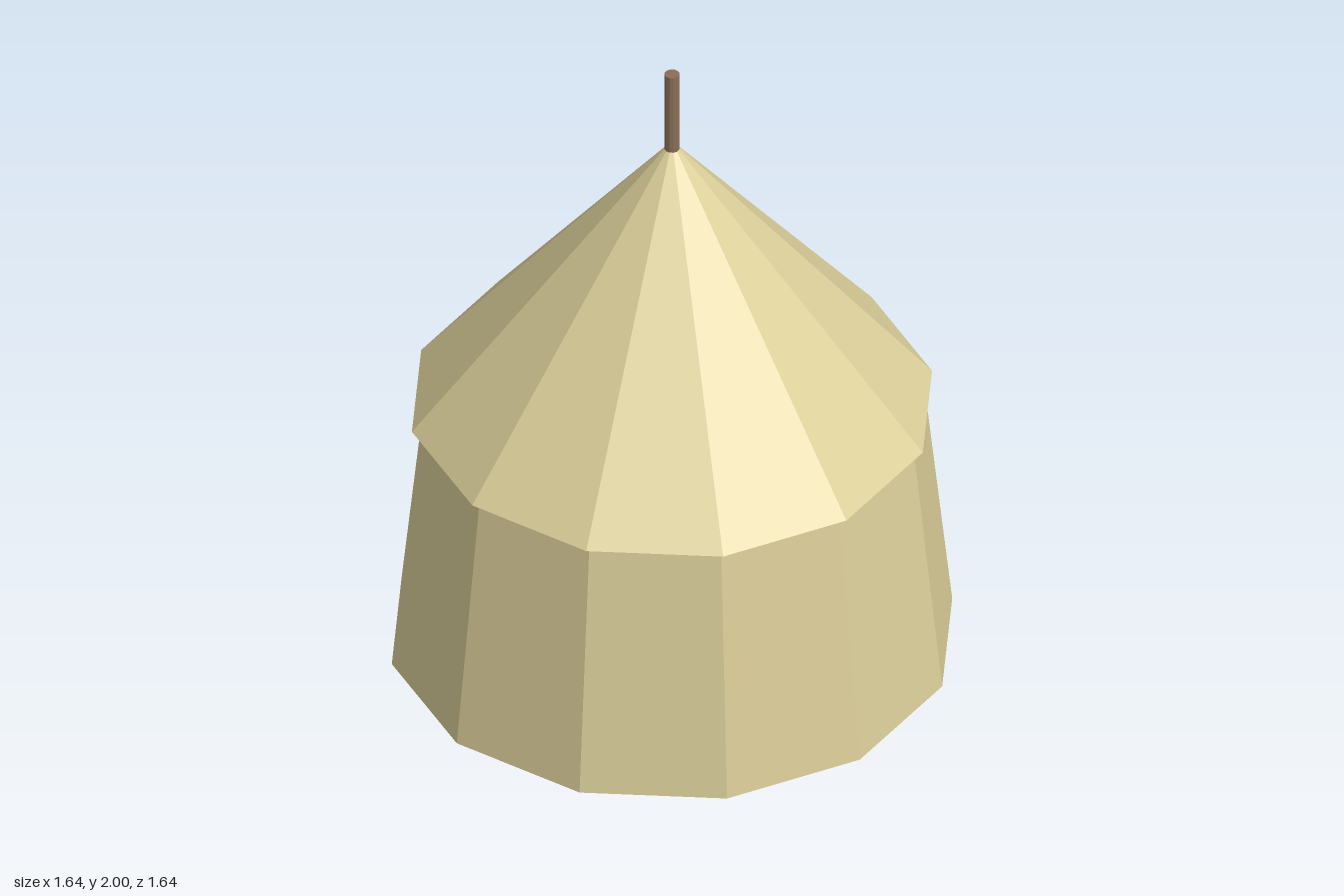
import * as THREE from 'three';

export function createModel() {
  const model = new THREE.Group();
  const canvas = new THREE.MeshStandardMaterial({ color: 0xdccf9a });
  canvas.name = 'canvas';
  const wood = new THREE.MeshStandardMaterial({ color: 0x8a6e58 });
  wood.name = 'wood';
  canvas.flatShading = wood.flatShading = true;

  // Upright tapered prism standing between two heights
  const addPrism = (name, material, topRadius, bottomRadius, y0, y1, sides) => {
    const geometry = new THREE.CylinderGeometry(topRadius, bottomRadius, y1 - y0, sides);
    const mesh = new THREE.Mesh(geometry, material);
    mesh.name = name;
    mesh.position.y = (y0 + y1) / 2;
    model.add(mesh);
  };

  // Tent wall, leaning inward towards the eaves
  addPrism('wall', canvas, 0.735, 0.822, 0, 0.825, 12);
  // Pointed roof with a small overhang
  addPrism('roof', canvas, 0, 0.763, 0.825, 1.76, 12);
  // Centre pole rising out of the roof
  addPrism('pole', wood, 0.022, 0.022, 1.7, 2, 12);

  return model;
}
